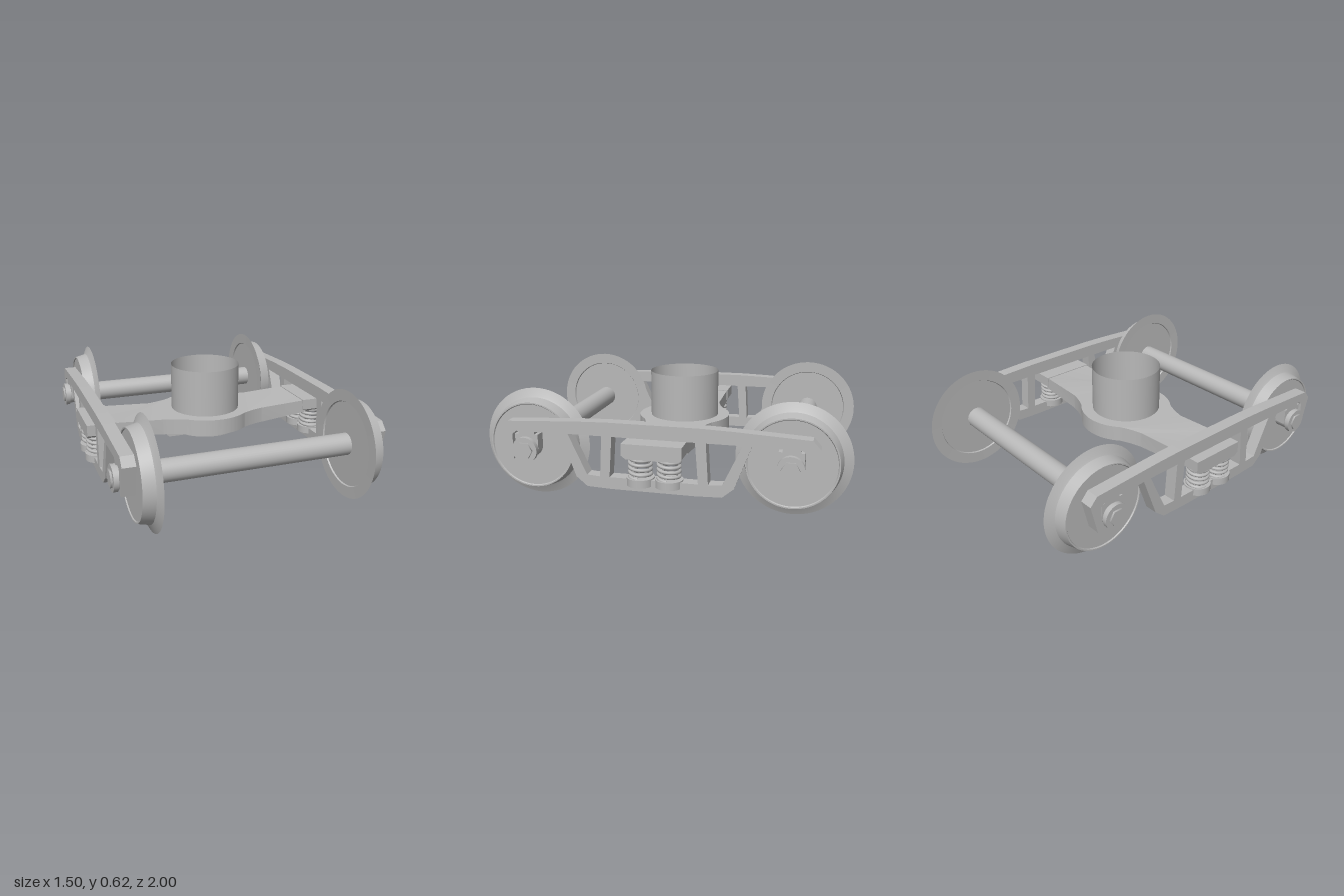
import * as THREE from 'three';
import { toCreasedNormals } from 'three/addons/utils/BufferGeometryUtils.js';

const steel = new THREE.MeshStandardMaterial({ color: 0xb8b8b8, side: THREE.DoubleSide });
steel.name = 'grey steel';

function add(parent, name, geometry, x = 0, y = 0, z = 0) {
  const mesh = new THREE.Mesh(geometry, steel);
  mesh.name = name;
  mesh.position.set(x, y, z);
  parent.add(mesh);
  return mesh;
}

// Cylinder lying along x
function rod(radius, length, sides = 32) {
  return new THREE.CylinderGeometry(radius, radius, length, sides).rotateZ(-Math.PI / 2);
}

function shapeFrom(points) {
  return new THREE.Shape(points.map(([a, b]) => new THREE.Vector2(a, b)));
}

// Half outline plus its mirror image in the first coordinate
function mirrored(half) {
  return [...half, ...half.map(([a, b]) => [-a, b]).reverse()];
}

// Wheel: thin flange inboard, tapered tread, flat outer disc
function wheelGeometry() {
  const profile = [
    [0, 0.563], [0.232, 0.563], [0.236, 0.555], [0.3, 0.554], [0.262, 0.571],
    [0.252, 0.577], [0.237, 0.64], [0.23, 0.64], [0.226, 0.634], [0, 0.634],
  ].map(([r, x]) => new THREE.Vector2(r, x));
  const geometry = new THREE.LatheGeometry(profile, 64).rotateZ(-Math.PI / 2);
  return toCreasedNormals(geometry, 0.3);
}

// Side frame: drawn in z and y, extruded along x
function frameGeometry() {
  const shape = shapeFrom(mirrored([
    [0.25, 0.475], [0.41, 0.47], [0.8, 0.45], [0.84, 0.405], [0.8, 0.24],
    [0.775, 0.24], [0.775, 0.38], [0.75, 0.398], [0.505, 0.398],
    [0.42, 0.17], [0.36, 0.12], [0.22, 0.115],
  ]));
  const hole = (points) => shape.holes.push(new THREE.Path(shapeFrom(points).getPoints()));
  hole([[0.22, 0.4], [0.236, 0.18], [-0.236, 0.18], [-0.22, 0.4]]);
  for (const s of [1, -1]) {
    hole([[s * 0.46, 0.4], [s * 0.275, 0.4], [s * 0.288, 0.18], [s * 0.36, 0.185]]);
  }
  return new THREE.ExtrudeGeometry(shape, { depth: 0.07, bevelEnabled: false })
    .rotateY(Math.PI / 2).translate(0.64, 0, 0);
}

// Coil spring path
class Coil extends THREE.Curve {
  getPoint(t, target = new THREE.Vector3()) {
    const a = t * Math.PI * 2 * 4.5;
    return target.set(0.056 * Math.cos(a), 0.115 * t, 0.056 * Math.sin(a));
  }
}

// Bolster: narrow beam swelling to a round centre, arms rising slightly outward
function bolsterGeometry() {
  const shape = new THREE.Shape();
  const R = 0.268;
  const a = 0.85;
  const cx = R * Math.cos(a), cz = R * Math.sin(a);
  shape.moveTo(0.6, -0.155);
  shape.lineTo(0.6, 0.155);
  shape.lineTo(0.31, 0.155);
  shape.quadraticCurveTo(0.24, 0.17, cx, cz);
  shape.absarc(0, 0, R, a, Math.PI - a, false);
  shape.quadraticCurveTo(-0.24, 0.17, -0.31, 0.155);
  shape.lineTo(-0.6, 0.155);
  shape.lineTo(-0.6, -0.155);
  shape.lineTo(-0.31, -0.155);
  shape.quadraticCurveTo(-0.24, -0.17, -cx, -cz);
  shape.absarc(0, 0, R, Math.PI + a, Math.PI * 2 - a, false);
  shape.quadraticCurveTo(0.24, -0.17, 0.31, -0.155);
  const geometry = new THREE.ExtrudeGeometry(shape, { depth: 0.09, bevelEnabled: false, curveSegments: 24 })
    .rotateX(-Math.PI / 2).translate(0, 0.27, 0);
  const p = geometry.attributes.position;
  for (let i = 0; i < p.count; i++) {
    const rise = Math.max(0, Math.abs(p.getX(i)) - 0.31) / 0.29;
    p.setY(i, p.getY(i) + rise * (p.getY(i) > 0.3 ? 0.015 : 0.03));
  }
  return toCreasedNormals(geometry, 0.5);
}

// Everything on one side: wheels, bearings, frame, springs
function buildSide() {
  const side = new THREE.Group();
  add(side, 'sideFrame', frameGeometry());

  for (const z of [-0.7, 0.7]) {
    add(side, 'wheel', wheelGeometry(), 0, 0.3, z);
    add(side, 'axleStub', rod(0.06, 0.1), 0.67, 0.3, z);
    add(side, 'bearingBlock', new THREE.BoxGeometry(0.06, 0.09, 0.13), 0.67, 0.335, z);
    add(side, 'bearingPad', new THREE.BoxGeometry(0.06, 0.02, 0.09), 0.67, 0.39, z);
    add(side, 'bearingCap', rod(0.07, 0.025), 0.7225, 0.3, z);
    add(side, 'axleNut', rod(0.048, 0.014, 6), 0.738, 0.3, z);
  }

  // Bolster end, chamfered below, reaching through the frame window
  const end = shapeFrom(mirrored([[0.16, 0.378], [0.16, 0.315], [0.135, 0.297]]));
  add(side, 'bolsterEnd', new THREE.ExtrudeGeometry(end, { depth: 0.165, bevelEnabled: false })
    .rotateY(Math.PI / 2), 0.58);

  for (const z of [-0.077, 0.077]) {
    add(side, 'spring', new THREE.TubeGeometry(new Coil(), 140, 0.0095, 8), 0.675, 0.185, z);
    add(side, 'springSeat', new THREE.CylinderGeometry(0.074, 0.074, 0.042, 32), 0.675, 0.166, z);
  }
  return side;
}

export function createModel() {
  const model = new THREE.Group();
  model.name = 'railBogie';

  const left = buildSide();
  left.name = 'leftSide';
  const right = buildSide();
  right.name = 'rightSide';
  right.rotation.y = Math.PI;
  model.add(left, right);

  for (const z of [-0.7, 0.7]) add(model, 'axle', rod(0.061, 1.13), 0, 0.3, z);

  add(model, 'bolster', bolsterGeometry());

  // Open centre tube with its lower rim under the bolster
  add(model, 'centreTube', new THREE.CylinderGeometry(0.2, 0.2, 0.39, 64, 1, true), 0, 0.43, 0);

  // Tapered web below the bolster
  const web = shapeFrom([[-0.29, 0.275], [0.29, 0.275], [0.28, 0.24], [0.235, 0.2], [-0.235, 0.2], [-0.28, 0.24]]);
  add(model, 'lowerWeb', new THREE.ExtrudeGeometry(web, { depth: 0.06, bevelEnabled: false }), 0, 0, -0.03);

  return model;
}
